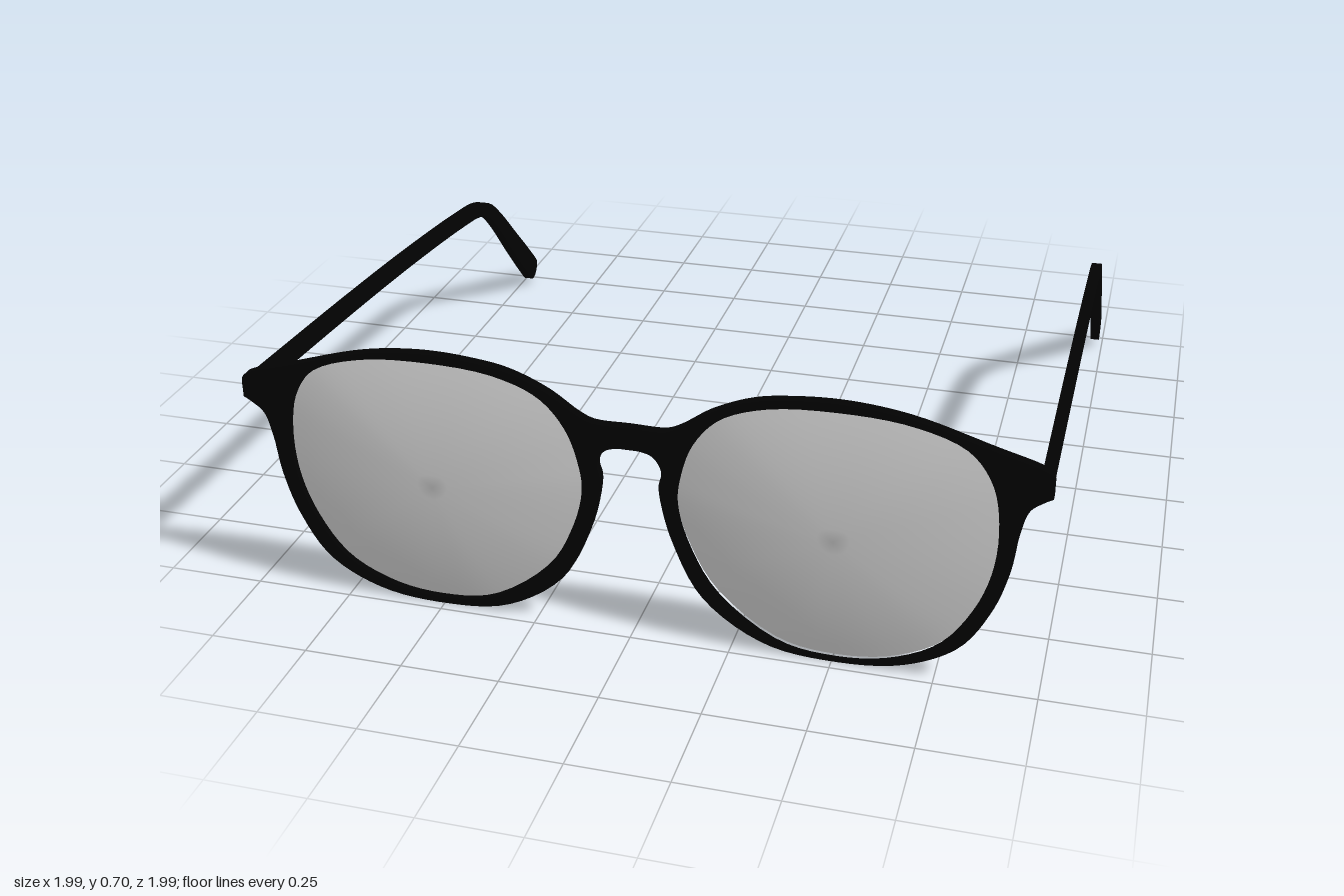
import * as THREE from 'three';
import { toCreasedNormals } from 'three/addons/utils/BufferGeometryUtils.js';

const vec = ([x, y]) => new THREE.Vector2(x, y);
const smooth = (pts, n, closed) => {
  const c = new THREE.CatmullRomCurve3(pts.map(([x, y]) => new THREE.Vector3(x, y, 0)), closed, 'centripetal');
  return c.getPoints(n).map(p => [p.x, p.y]);
};

// Left half of the front's outer edge: brow, end piece, rim, nose
const brow = [[0, 0.576], [0.09, 0.577], [0.125, 0.592], [0.2, 0.643], [0.3, 0.685], [0.4, 0.701], [0.505, 0.706],
  [0.61, 0.698], [0.7, 0.681], [0.86, 0.633], [0.965, 0.602], [0.99, 0.588], [0.995, 0.57]];
const rim = [[0.995, 0.53], [0.975, 0.518], [0.945, 0.492], [0.927, 0.43], [0.912, 0.325], [0.876, 0.21], [0.803, 0.094],
  [0.673, 0.023], [0.505, 0.003], [0.333, 0.025], [0.18, 0.129], [0.105, 0.277], [0.077, 0.385],
  [0.073, 0.43], [0.08, 0.468], [0.06, 0.505], [0.03, 0.516], [0, 0.517]];
// Lens opening
const opening = [[0.12, 0.39], [0.127, 0.46], [0.157, 0.55], [0.22, 0.625], [0.33, 0.669], [0.505, 0.683], [0.675, 0.67],
  [0.8, 0.625], [0.857, 0.55], [0.878, 0.45], [0.872, 0.325], [0.834, 0.21], [0.757, 0.1], [0.637, 0.038],
  [0.505, 0.021], [0.37, 0.042], [0.218, 0.155], [0.147, 0.283]];

const frameMat = new THREE.MeshStandardMaterial({ color: 0x020202 });
frameMat.name = 'black acetate';
const lensMat = new THREE.MeshStandardMaterial({ color: 0xdcdcdc, side: THREE.DoubleSide });
lensMat.name = 'pale grey lens';

function add(group, name, geo, mat) {
  const mesh = new THREE.Mesh(geo, mat);
  mesh.name = name;
  group.add(mesh);
}

// Flat front with two openings
function frontGeometry() {
  const half = [...smooth(brow, 60), ...smooth(rim, 90)];
  const mirrored = half.slice(1, -1).reverse().map(([x, y]) => [-x, y]);
  const shape = new THREE.Shape([...half, ...mirrored].map(vec));
  for (const s of [1, -1]) {
    const edge = smooth(opening, 80, true).slice(0, -1).map(([x, y]) => [s * x, y]);
    shape.holes.push(new THREE.Path(edge.map(vec)));
  }
  const geo = new THREE.ExtrudeGeometry(shape, { depth: 0.025, bevelEnabled: false });
  return toCreasedNormals(geo.translate(0, 0, 0.948), 0.6);
}

// Shallow dome made of rings shrinking from the opening's edge to its centre
function lensGeometry(side) {
  const edge = smooth(opening, 80, true).slice(0, -1);
  const n = edge.length, rings = 10, cx = 0.5, cy = 0.352, overlap = 1.02;
  const pos = [], idx = [];
  for (let r = 0; r <= rings; r++) {
    const t = r / rings;
    for (const [x, y] of edge) {
      pos.push(side * (cx + (x - cx) * t * overlap), cy + (y - cy) * t * overlap, 0.956 + 0.036 * (1 - t * t));
    }
  }
  for (let r = 0; r < rings; r++) for (let i = 0; i < n; i++) {
    const a = r * n + i, b = r * n + (i + 1) % n, c = a + n, d = b + n;
    const tris = r ? [[a, d, c], [a, b, d]] : [[a, d, c]];
    for (const [p, q, s] of tris) idx.push(...(side > 0 ? [p, q, s] : [p, s, q]));
  }
  const geo = new THREE.BufferGeometry();
  geo.setAttribute('position', new THREE.Float32BufferAttribute(pos, 3));
  // The opening runs clockwise, so turn the faces to look forward
  geo.setIndex(idx.reverse());
  geo.computeVertexNormals();
  // All points of the first ring share the dome's top
  for (let i = 0; i < n; i++) geo.attributes.normal.setXYZ(i, 0, 0, 1);
  return geo;
}

// Temple arm: side profile swept along a bent centre line, widening to a rounded tip
function templeGeometry() {
  const path = new THREE.CatmullRomCurve3([[-0.955, 0.557], [-0.4, 0.528], [0, 0.501], [0.38, 0.465], [0.52, 0.444],
    [0.6, 0.412], [0.68, 0.345], [0.8, 0.221], [0.966, 0.052]].map(([x, y]) => new THREE.Vector3(x, y, 0)), false, 'centripetal');
  const n = 70, upper = [], lower = [], tip = [];
  for (let i = 0; i <= n; i++) {
    const p = path.getPointAt(i / n), t = path.getTangentAt(i / n);
    const w = 0.022 + 0.015 * THREE.MathUtils.smoothstep(p.x, 0.58, 0.95);
    upper.push([p.x - t.y * w, p.y + t.x * w]);
    lower.unshift([p.x + t.y * w, p.y - t.x * w]);
    if (i === n) for (let k = 1; k < 10; k++) {
      const a = Math.PI * (0.5 - k / 10), c = Math.cos(a) * w * 0.75, s = Math.sin(a) * w;
      tip.push([p.x + t.x * c - t.y * s, p.y + t.y * c + t.x * s]);
    }
  }
  const shape = new THREE.Shape([...upper, ...tip, ...lower].map(vec));
  const geo = new THREE.ExtrudeGeometry(shape, { depth: 0.027, bevelEnabled: false });
  geo.translate(0, 0, -0.0135).rotateY(Math.PI / 2);
  return toCreasedNormals(geo, 0.6);
}

export function createModel() {
  const group = new THREE.Group();
  group.name = 'glasses';
  add(group, 'front', frontGeometry(), frameMat);
  for (const [side, label] of [[1, 'left'], [-1, 'right']]) {
    add(group, label + 'Lens', lensGeometry(side), lensMat);
    add(group, label + 'Temple', templeGeometry().translate(side * 0.9765, 0, 0), frameMat);
    // Hinge block behind the end piece
    const hinge = new THREE.BoxGeometry(0.034, 0.036, 0.04);
    add(group, label + 'Hinge', hinge.translate(side * 0.974, 0.556, 0.935), frameMat);
  }
  return group;
}
